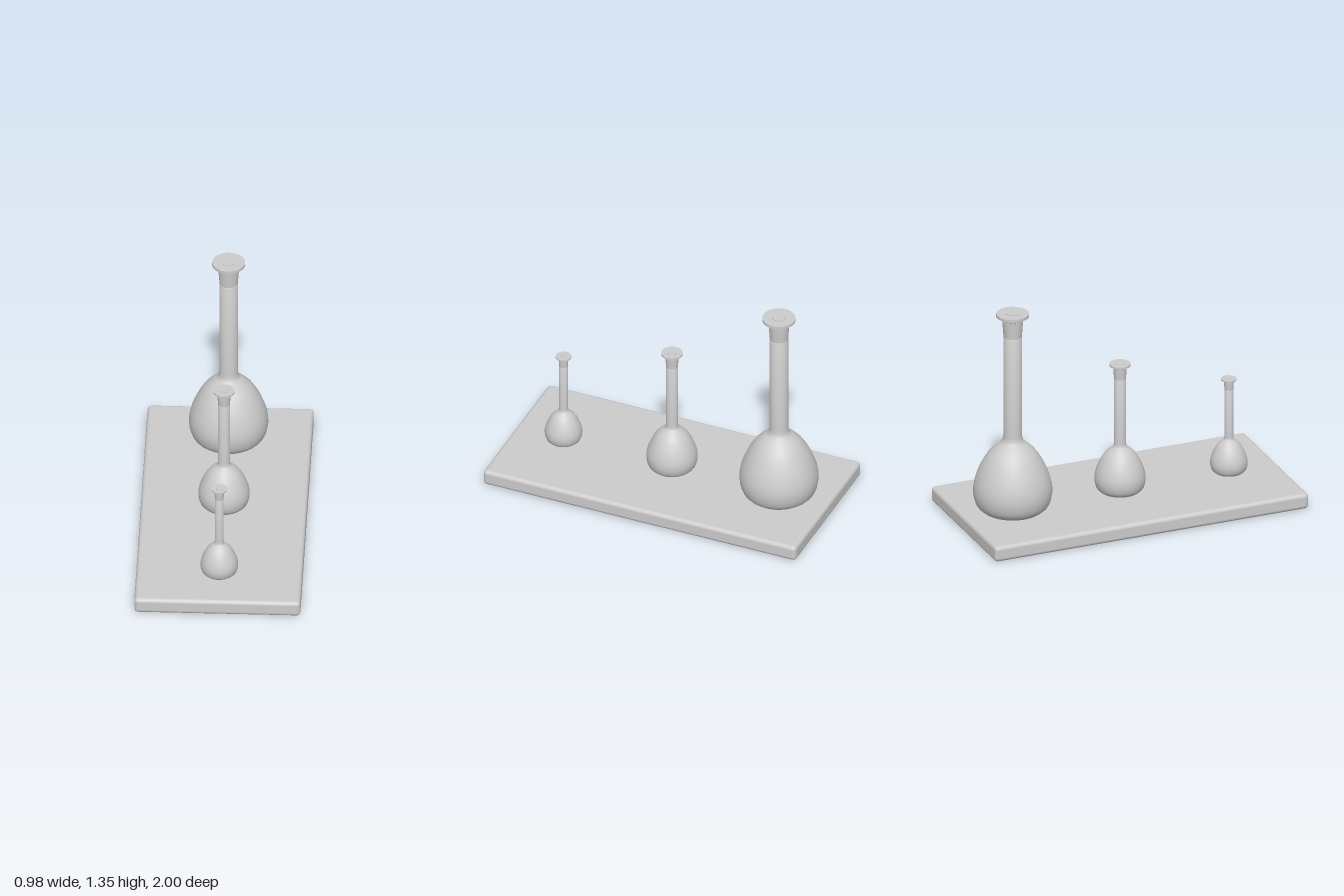
import * as THREE from 'three';
import { RoundedBoxGeometry } from 'three/addons/geometries/RoundedBoxGeometry.js';
import { toCreasedNormals } from 'three/addons/utils/BufferGeometryUtils.js';

const BOARD_TOP = 0.097;
const material = new THREE.MeshStandardMaterial({ color: 0xcccccc, side: THREE.DoubleSide });

function lathe(name, points, sides = 32) {
  const profile = points.map(([r, y]) => new THREE.Vector2(r, y));
  const geometry = toCreasedNormals(new THREE.LatheGeometry(profile, sides), 0.65);
  const mesh = new THREE.Mesh(geometry, material);
  mesh.name = name;
  return mesh;
}

// Full-size flask, standing on y = 0
function createFlask(name, scale, z) {
  const flask = new THREE.Group();
  flask.name = name;

  // Pear-shaped bulb, smoothed through a few profile points
  const bulb = new THREE.SplineCurve([
    [0.178, 0], [0.211, 0.03], [0.228, 0.075], [0.233, 0.125], [0.226, 0.18],
    [0.205, 0.245], [0.174, 0.31], [0.138, 0.365], [0.095, 0.408],
    [0.068, 0.43], [0.058, 0.45], [0.055, 0.475],
  ].map(([r, y]) => new THREE.Vector2(r, y))).getPoints(33).map((p) => [p.x, p.y]);

  // Glass body: flat base, bulb, straight neck and rim
  flask.add(lathe('flaskBody', [[0, 0], ...bulb, [0.055, 1.098], [0.053, 1.102], [0.044, 1.102]]));

  // Tapered stopper with a flared collar, a flat disc and a low button
  flask.add(lathe('stopper', [
    [0, 1.08], [0.044, 1.08], [0.044, 1.102], [0.054, 1.104], [0.062, 1.215], [0.068, 1.219], [0.068, 1.235],
    [0.097, 1.235], [0.097, 1.252], [0.04, 1.252], [0.04, 1.256], [0, 1.256],
  ]));

  flask.scale.setScalar(scale);
  flask.position.set(0, BOARD_TOP, z);
  return flask;
}

export function createModel() {
  const model = new THREE.Group();
  model.name = 'flaskSet';

  // Base board with softened edges
  const board = new THREE.Mesh(new RoundedBoxGeometry(0.976, BOARD_TOP, 2, 4, 0.024), material);
  board.name = 'board';
  board.position.y = BOARD_TOP / 2;
  model.add(board);

  // Three sizes of the same flask in a row
  model.add(createFlask('largeFlask', 1, -0.684));
  model.add(createFlask('mediumFlask', 0.648, 0));
  model.add(createFlask('smallFlask', 0.475, 0.694));
  return model;
}
